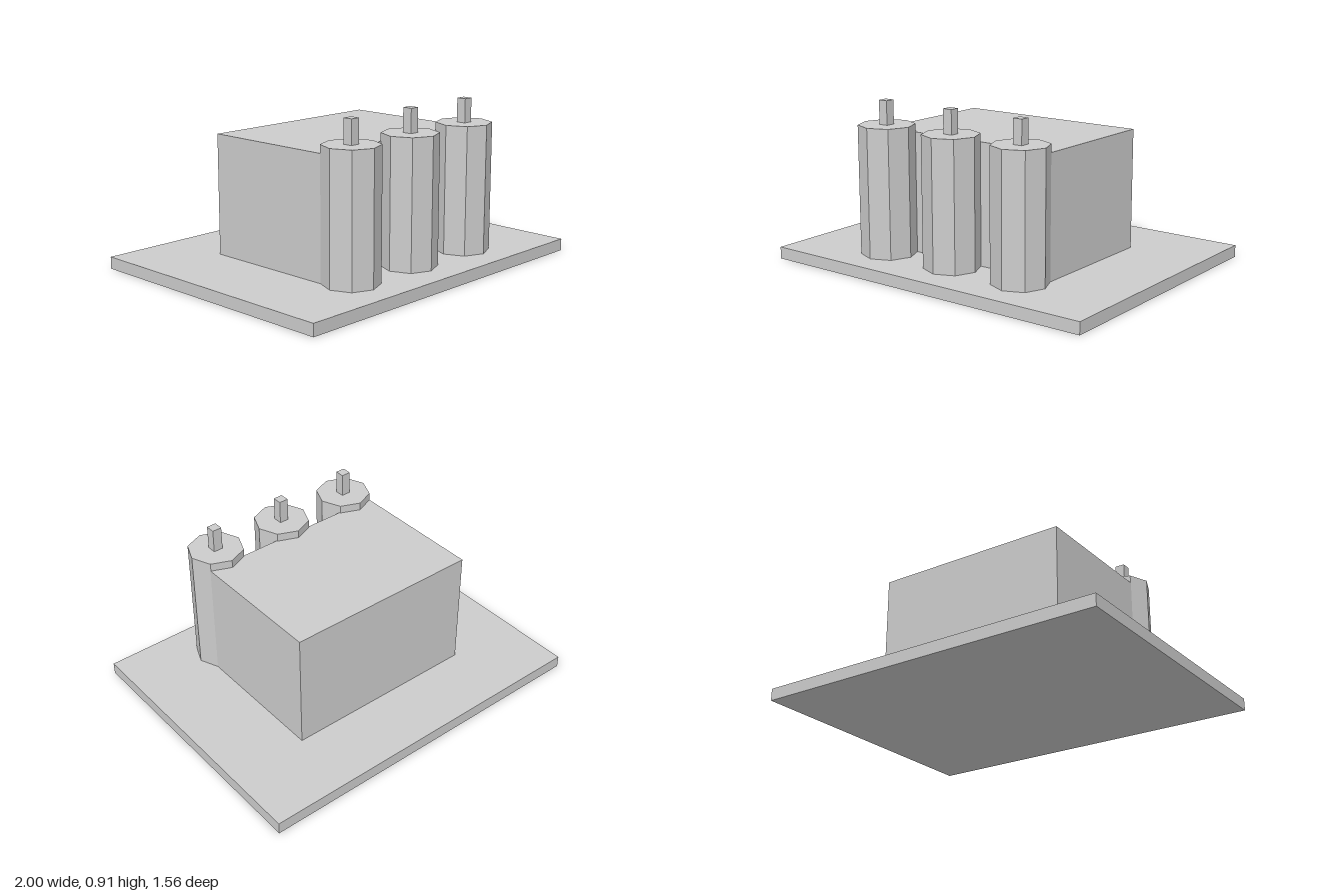
import * as THREE from 'three';

const grey = new THREE.MeshStandardMaterial({ color: 0xcccccc, flatShading: true });
grey.name = 'light grey';

// Adds a mesh whose underside sits at height y
function addPart(parent, name, geometry, height, x, y, z) {
  const mesh = new THREE.Mesh(geometry, grey);
  mesh.name = name;
  mesh.position.set(x, y + height / 2, z);
  parent.add(mesh);
}

export function createModel() {
  const model = new THREE.Group();
  model.name = 'tankBuilding';

  const baseH = 0.067, hallH = 0.668, columnH = 0.713, postH = 0.132;

  // Ground slab and main block
  addPart(model, 'baseSlab', new THREE.BoxGeometry(2, baseH, 1.556), baseH, 0, 0, 0);
  addPart(model, 'mainBlock', new THREE.BoxGeometry(1.11, hallH, 0.776), hallH, 0, baseH, -0.002);

  // Row of octagonal columns along the front, each with a square post on top
  const columnGeometry = new THREE.CylinderGeometry(0.154, 0.154, columnH, 8);
  const postGeometry = new THREE.BoxGeometry(0.054, postH, 0.054);
  for (const [side, x] of [['right', -0.445], ['middle', 0], ['left', 0.445]]) {
    const column = new THREE.Group();
    column.name = `${side}Column`;
    column.position.set(x, baseH, 0.489);
    addPart(column, 'columnBody', columnGeometry, columnH, 0, 0, 0);
    addPart(column, 'columnPost', postGeometry, postH, 0, columnH, 0);
    model.add(column);
  }

  return model;
}
